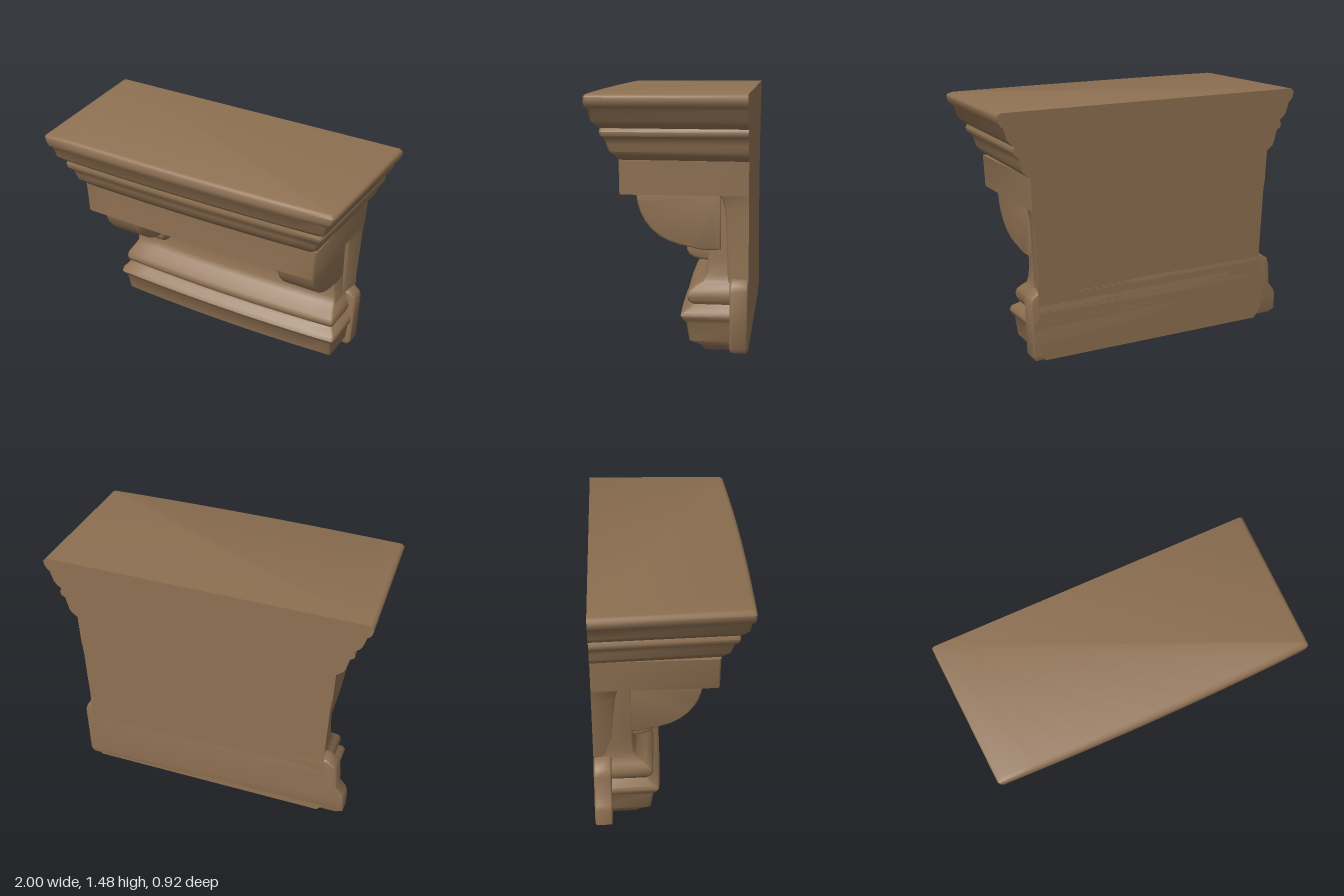
import * as THREE from 'three';
import { toCreasedNormals } from 'three/addons/utils/BufferGeometryUtils.js';

const BACK = -0.46;

// Moulding that wraps front and sides: rows of [y, half width at back, front z], bottom to top.
// taper narrows the front, bow pushes the middle of the front forward.
function wrapMoulding(rows, taper, bow, centre = 0) {
  const ring = ([y, w, z]) => {
    const pts = [];
    const add = (x, zz) => pts.push(new THREE.Vector3(x + centre, y, zz));
    const wf = w - taper, zc = z - bow, c = 0.012;
    add(-w, BACK);
    add(-wf, zc - c);
    const n = 10;
    for (let i = 0; i <= n; i++) {
      const t = (i / n) * 2 - 1;
      add(t * (wf - c), zc + bow * (1 - t * t));
    }
    add(wf, zc - c);
    add(w, BACK);
    return pts;
  };
  const rings = rows.map(ring);
  const pos = [];
  const tri = (...vs) => vs.forEach((v) => pos.push(v.x, v.y, v.z));
  const count = rings[0].length;
  for (let r = 0; r < rings.length - 1; r++) {
    const lo = rings[r], hi = rings[r + 1];
    for (let i = 0; i < count; i++) {
      const j = (i + 1) % count;
      tri(lo[i], lo[j], hi[j]);
      tri(lo[i], hi[j], hi[i]);
    }
  }
  const bottom = rings[0], top = rings[rings.length - 1];
  for (let i = 1; i < count - 1; i++) {
    tri(bottom[0], bottom[i + 1], bottom[i]);
    tri(top[0], top[i], top[i + 1]);
  }
  const geo = new THREE.BufferGeometry();
  geo.setAttribute('position', new THREE.Float32BufferAttribute(pos, 3));
  return toCreasedNormals(geo, 0.9);
}

function extrude(points, depth, bevel) {
  const shape = new THREE.Shape(points.map(([x, y]) => new THREE.Vector2(x, y)));
  const geo = new THREE.ExtrudeGeometry(shape, {
    depth: depth - 2 * bevel, bevelEnabled: bevel > 0, bevelSize: bevel,
    bevelThickness: bevel, bevelOffset: -bevel, bevelSegments: 2,
  });
  geo.translate(0, 0, bevel);
  return geo;
}

// Extrudes a [z, y] side profile from x0 to x1.
function sideProfile(points, x0, x1, bevel) {
  const geo = extrude(points, x1 - x0, bevel);
  geo.rotateY(-Math.PI / 2);
  geo.translate(x1, 0, 0);
  return toCreasedNormals(geo, 0.8);
}

export function createModel() {
  const model = new THREE.Group();
  const stone = new THREE.MeshStandardMaterial({ color: 0x8e7052 });
  stone.name = 'brown stone';
  const add = (name, geo) => {
    const mesh = new THREE.Mesh(geo, stone);
    mesh.name = name;
    model.add(mesh);
  };

  // Stepped crown with its frieze below
  add('crown', wrapMoulding([
    [1.095, 0.80, 0.28], [1.105, 0.82, 0.30], [1.13, 0.85, 0.315], [1.15, 0.86, 0.345],
    [1.19, 0.87, 0.355], [1.225, 0.88, 0.368], [1.24, 0.905, 0.385], [1.265, 0.91, 0.39],
    [1.285, 0.90, 0.385], [1.31, 0.93, 0.415], [1.33, 0.945, 0.432], [1.395, 0.965, 0.442],
    [1.405, 0.98, 0.457], [1.43, 0.995, 0.46], [1.46, 1.0, 0.46], [1.472, 0.99, 0.452],
    [1.48, 0.975, 0.435],
  ], 0.035, 0.018));
  add('frieze', wrapMoulding([
    [0.905, 0.80, 0.285], [1.0, 0.805, 0.285], [1.1, 0.81, 0.287],
  ], 0.005, 0.012));

  // Moulded base and neck
  add('base', wrapMoulding([
    [0, 0.74, -0.18], [0.03, 0.765, -0.165], [0.06, 0.785, -0.10], [0.17, 0.795, -0.08],
    [0.19, 0.81, -0.06], [0.21, 0.815, -0.05], [0.235, 0.81, -0.065], [0.26, 0.785, -0.105],
    [0.275, 0.775, -0.115], [0.295, 0.785, -0.092], [0.32, 0.79, -0.086], [0.35, 0.785, -0.095],
    [0.38, 0.77, -0.13], [0.41, 0.755, -0.175], [0.45, 0.75, -0.195], [0.53, 0.745, -0.2],
    [0.62, 0.745, -0.2], [0.91, 0.745, -0.2],
  ], 0.005, 0.025, -0.01));

  // Flared slab against the wall
  add('backSlab', wrapMoulding([
    [0.35, 0.775, -0.34], [0.5, 0.775, -0.338], [0.7, 0.785, -0.333],
    [0.82, 0.79, -0.325], [0.88, 0.795, -0.31], [0.91, 0.80, -0.29],
  ], 0.025, 0));

  // Foot blocks, the right one spreading out at the bottom
  const foot = extrude([
    [-0.87, 0.015], [0.79, 0.0], [0.812, 0.03], [0.822, 0.36], [0.81, 0.395], [0.77, 0.425],
    [-0.79, 0.425], [-0.845, 0.39], [-0.86, 0.34], [-0.865, 0.22], [-0.905, 0.17], [-0.915, 0.14],
    [-0.915, 0.035],
  ], 0.105, 0.014);
  foot.translate(0, 0, BACK);
  add('footBlocks', toCreasedNormals(foot, 0.8));

  // Rounded panel between the consoles with an overhang above it
  add('rolledPanel', sideProfile([
    [-0.25, 0.585], [-0.19, 0.59], [-0.12, 0.62], [-0.06, 0.665], [-0.02, 0.71],
    [0, 0.75], [0.005, 0.795], [0.08, 0.91], [-0.25, 0.91],
  ], -0.6, 0.6, 0));

  // Paired consoles with scroll ends
  for (const side of [-1, 1]) {
    const span = (a, b) => (side > 0 ? [a + 0.01, b + 0.005] : [-b, -a + 0.01]);
    const label = side > 0 ? 'left' : 'right';
    add(label + 'Console', sideProfile([
      [-0.3, 0.91], [-0.3, 0.59], [-0.2, 0.585], [-0.13, 0.6], [-0.06, 0.615], [0, 0.635],
      [0.05, 0.662], [0.1, 0.705], [0.135, 0.75], [0.16, 0.8], [0.175, 0.85], [0.185, 0.91],
    ], ...span(0.495, 0.745), 0.01));
    add(label + 'Scroll', sideProfile([
      [-0.25, 0.62], [-0.25, 0.52], [-0.19, 0.52], [-0.145, 0.53], [-0.115, 0.55],
      [-0.1, 0.58], [-0.105, 0.615],
    ], ...span(0.495, 0.69), 0.015));
  }
  return model;
}
